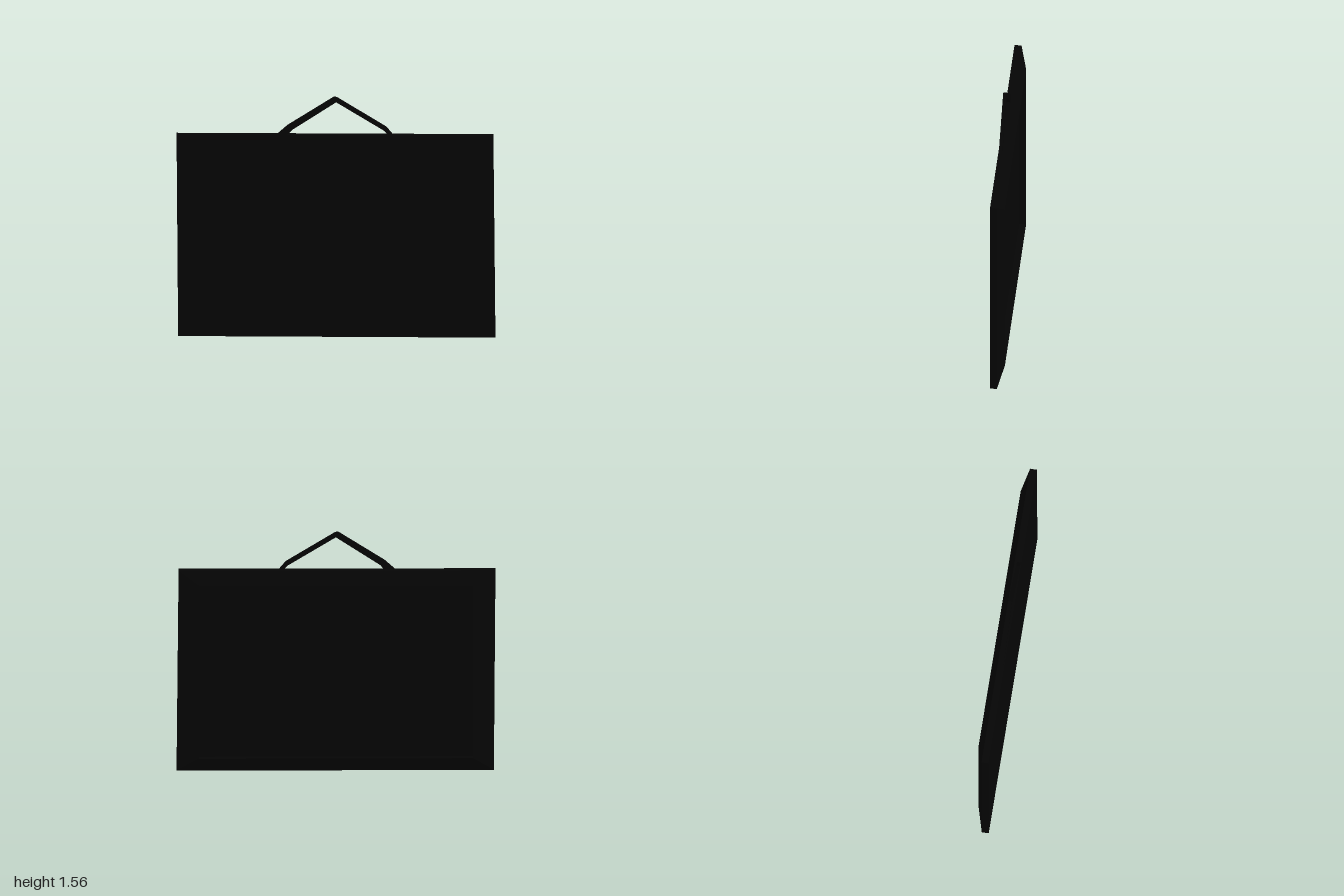
import * as THREE from 'three';

const black = new THREE.MeshStandardMaterial({ color: 0x050505, flatShading: true });

// Slightly uneven outline of the board, counter-clockwise seen from the front
const outline = [[-0.99, 0.012], [1, 0], [0.987, 1.31], [-1, 1.32]];
const inner = [[-0.86, 0.1], [0.86, 0.09], [0.86, 1.225], [-0.86, 1.23]];
const FRONT = 0.042, EDGE = -0.002, BACK = -0.042, RECESS = 0.003;

function mesh(name, geometry) {
  const m = new THREE.Mesh(geometry, black);
  m.name = name;
  return m;
}

function fromTriangles(positions) {
  const g = new THREE.BufferGeometry();
  g.setAttribute('position', new THREE.Float32BufferAttribute(positions, 3));
  g.computeVertexNormals();
  return g;
}

// Joins successive four-corner loops, running from front to back
function loft(loops) {
  const p = [];
  for (let k = 0; k < loops.length - 1; k++) {
    for (let i = 0; i < 4; i++) {
      const j = (i + 1) % 4;
      const [a, b, c, d] = [loops[k][i], loops[k + 1][i], loops[k + 1][j], loops[k][j]];
      p.push(...a, ...b, ...c, ...a, ...c, ...d);
    }
  }
  return fromTriangles(p);
}

// Flat four-corner face
function quad([a, b, c, d]) {
  return fromTriangles([...a, ...b, ...c, ...a, ...c, ...d]);
}

const atDepth = (corners, z) => corners.map(([x, y]) => [x, y, z]);

export function createModel() {
  const model = new THREE.Group();
  model.name = 'hangingBoard';

  // Rim, bevelled back and the walls of the rear recess
  model.add(mesh('frame', loft([
    atDepth(outline, FRONT), atDepth(outline, EDGE),
    atDepth(inner, BACK), atDepth(inner, RECESS),
  ])));

  // Flat face and sunken rear panel
  model.add(mesh('frontPanel', quad(atDepth(outline, FRONT))));
  model.add(mesh('backPanel', quad(atDepth(inner, RECESS).reverse())));

  // Bent hanging strap: thick on one side, thin on the other
  const strap = new THREE.Shape([
    [-0.4, 1.29], [-0.305, 1.375], [-0.012, 1.56], [0.006, 1.556],
    [0.315, 1.365], [0.378, 1.29], [0.35, 1.29], [0.3, 1.343],
    [0.001, 1.527], [-0.275, 1.348], [-0.33, 1.29],
  ].map(([x, y]) => new THREE.Vector2(x, y)));
  const hanger = mesh('hangingStrap',
    new THREE.ExtrudeGeometry(strap, { depth: 0.022, bevelEnabled: false }));
  hanger.position.z = 0.014;
  model.add(hanger);

  return model;
}
